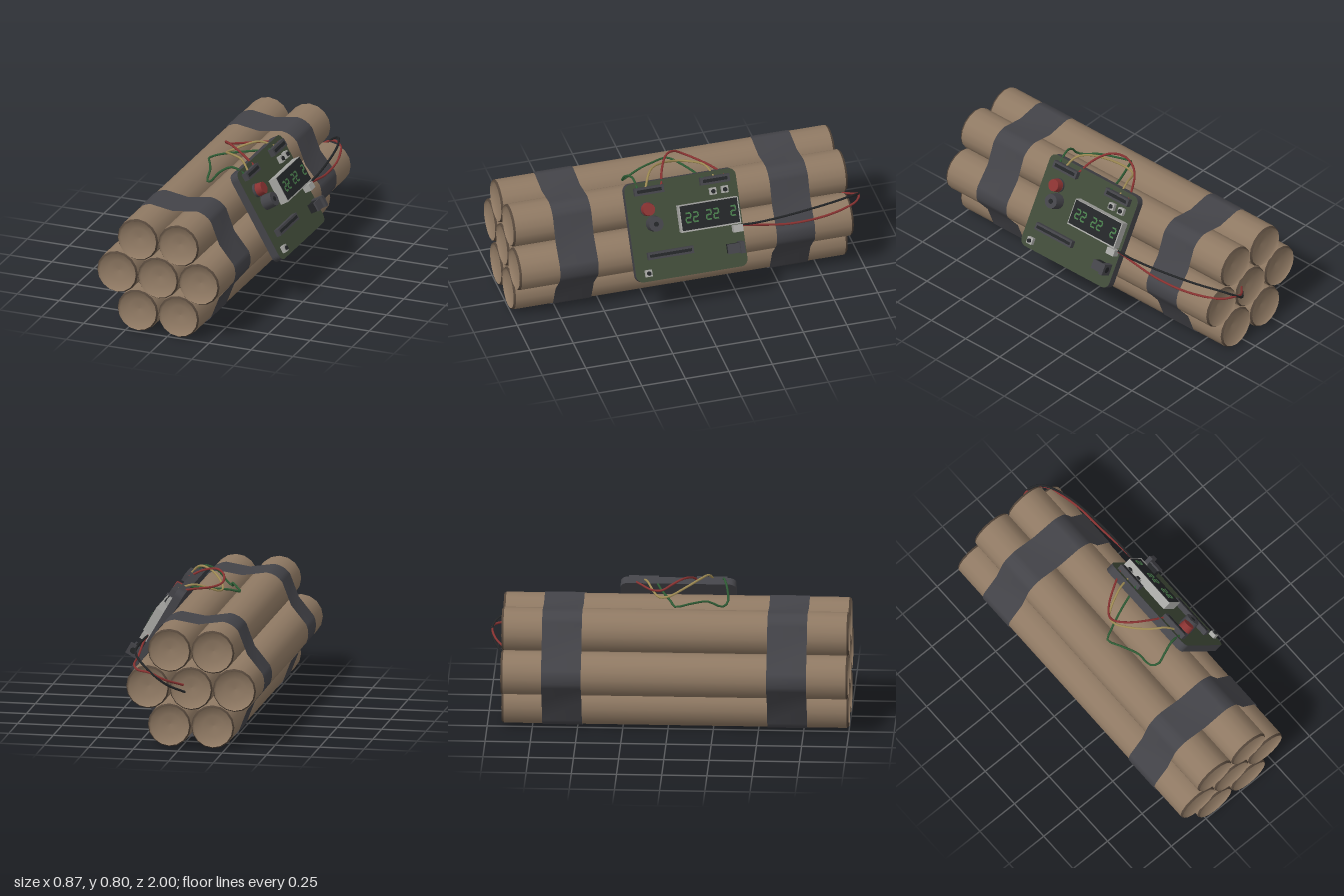
import * as THREE from 'three';

const mat = (name, color, side = THREE.FrontSide) => {
  const m = new THREE.MeshStandardMaterial({ color, side });
  m.name = name;
  return m;
};

export function createModel() {
  const root = new THREE.Group();
  root.name = 'tubeBundle';

  const cardboard = mat('cardboard', 0x8f7963);
  const rimBrown = mat('rimBrown', 0x54463a);
  const darkGrey = mat('darkGrey', 0x434348, THREE.DoubleSide);
  const boardGreen = mat('boardGreen', 0x3f4a38);
  const black = mat('black', 0x232527);
  const metal = mat('metal', 0xa5a5a2);
  const red = mat('red', 0x8a3332);
  const yellow = mat('yellow', 0xa08c55);
  const wireGreen = mat('wireGreen', 0x2f5c35);
  const digitGreen = mat('digitGreen', 0x477a4a);

  const add = (parent, name, geometry, material, x = 0, y = 0, z = 0) => {
    const m = new THREE.Mesh(geometry, material);
    m.name = name;
    m.position.set(x, y, z);
    parent.add(m);
    return m;
  };
  const v2 = (pts) => pts.map(([x, y]) => new THREE.Vector2(x, y));

  // Seven tubes: one in the middle, six around it
  const R = 0.1215, PITCH = 0.244, CX = -0.058, CY = 0.336;
  const Z0 = -0.92, Z1 = 1;
  const ring = [0, 1, 2, 3, 4, 5].map((i) => {
    const a = (i * Math.PI) / 3;
    return { a, x: CX + PITCH * Math.cos(a), y: CY + PITCH * Math.sin(a) };
  });
  const side = new THREE.CylinderGeometry(R, R, Z1 - Z0 - 0.024, 16, 1, true).rotateX(Math.PI / 2);
  const rim = new THREE.LatheGeometry(v2([[R, -0.012], [0.114, 0]]), 16);
  const dish = new THREE.LatheGeometry(v2([[0.114, 0], [0.106, -0.016], [0.06, -0.032], [0, -0.038]]), 16);
  for (const { x, y } of [{ x: CX, y: CY }, ...ring]) {
    const tube = new THREE.Group();
    tube.name = 'tube';
    tube.position.set(x, y, 0);
    root.add(tube);
    add(tube, 'tubeWall', side, cardboard, 0, 0, (Z0 + Z1) / 2);
    for (const [z, s] of [[Z1, 1], [Z0, -1]]) {
      add(tube, 'tubeRim', rim, rimBrown, 0, 0, z).rotation.x = (s * Math.PI) / 2;
      add(tube, 'tubeEnd', dish, cardboard, 0, 0, z).rotation.x = (s * Math.PI) / 2;
    }
  }

  // Straps: a thin band over the outer tubes, dipping slightly between them
  const outline = [];
  for (const { a, x, y } of ring) {
    for (const d of [-24, -12, 0, 12, 24]) {
      const t = a + THREE.MathUtils.degToRad(d);
      outline.push([x + 0.126 * Math.cos(t), y + 0.126 * Math.sin(t)]);
    }
    const m = a + Math.PI / 6, r = PITCH * Math.cos(Math.PI / 6) + 0.104;
    outline.push([CX + r * Math.cos(m), CY + r * Math.sin(m)]);
  }
  const bandGeometry = (width) => {
    const pos = [], idx = [], n = outline.length;
    for (const [x, y] of outline) pos.push(x, y, -width / 2, x, y, width / 2);
    for (let i = 0; i < n; i++) {
      const a = 2 * i, b = 2 * ((i + 1) % n);
      idx.push(a, b, a + 1, b, b + 1, a + 1);
    }
    const g = new THREE.BufferGeometry();
    g.setAttribute('position', new THREE.Float32BufferAttribute(pos, 3));
    g.setIndex(idx);
    g.computeVertexNormals();
    return g;
  };
  for (const z of [0.66, -0.585]) add(root, 'strap', bandGeometry(0.22), darkGrey, 0, 0, z);

  // Circuit board, leaning on the upper side; its local z points outwards
  const board = new THREE.Group();
  board.name = 'circuitBoard';
  const c = Math.cos(Math.PI / 6), s = 0.5, T = 0.047;
  board.setRotationFromMatrix(new THREE.Matrix4().makeBasis(
    new THREE.Vector3(0, 0, -1), new THREE.Vector3(-s, c, 0), new THREE.Vector3(c, s, 0)));
  board.position.set(0.241, 0.485, 0.04);
  root.add(board);

  const w = 0.32, h = 0.275, q = 0.04;
  const plate = new THREE.Shape();
  plate.absarc(w - q, h - q, q, 0, Math.PI / 2);
  plate.absarc(-w + q, h - q, q, Math.PI / 2, Math.PI);
  plate.absarc(-w + q, -h + q, q, Math.PI, Math.PI * 1.5);
  plate.absarc(w - q, -h + q, q, Math.PI * 1.5, Math.PI * 2);
  add(board, 'boardBody', new THREE.ExtrudeGeometry(plate, { depth: T, bevelEnabled: false, curveSegments: 4 }), darkGrey);
  add(board, 'boardFace', new THREE.ShapeGeometry(plate, 4), boardGreen, 0, 0, T + 0.001);

  // Parts standing on the board face
  const block = (name, m, x, y, bw, bh, bd, z = 0) =>
    add(board, name, new THREE.BoxGeometry(bw, bh, bd), m, x, y, T + z + bd / 2);
  const post = (name, m, x, y, r0, r1, d, z = 0) =>
    add(board, name, new THREE.CylinderGeometry(r1, r0, d, 14).rotateX(Math.PI / 2), m, x, y, T + z + d / 2);

  for (const x of [-0.185, 0.193]) {
    block('wireSocket', darkGrey, x, 0.228, 0.168, 0.042, 0.032);
    block('socketSlot', black, x, 0.228, 0.14, 0.018, 0.002, 0.032);
  }
  block('longSocket', darkGrey, -0.112, -0.135, 0.262, 0.04, 0.03);
  block('longSocketSlot', black, -0.112, -0.135, 0.24, 0.016, 0.002, 0.03);

  post('redButtonBase', darkGrey, -0.206, 0.125, 0.04, 0.04, 0.015);
  post('redButton', red, -0.206, 0.125, 0.038, 0.034, 0.04, 0.015);
  post('buzzer', darkGrey, -0.18, 0.04, 0.045, 0.041, 0.065);
  post('buzzerHole', black, -0.18, 0.04, 0.014, 0.014, 0.002, 0.065);

  for (const [x, y] of [[0.175, 0.165], [0.243, 0.165], [-0.25, -0.228]]) {
    block('pushSwitch', metal, x, y, 0.038, 0.038, 0.024);
    post('pushSwitchCap', black, x, y, 0.012, 0.012, 0.008, 0.024);
  }
  block('cableSocket', metal, 0.283, -0.06, 0.055, 0.038, 0.045);

  block('powerJack', black, 0.245, -0.165, 0.07, 0.05, 0.05);
  block('powerJackFront', darkGrey, 0.287, -0.165, 0.025, 0.064, 0.072);
  block('powerJackTop', darkGrey, 0.24, -0.165, 0.07, 0.054, 0.01, 0.045);
  add(board, 'powerJackHole', new THREE.CylinderGeometry(0.018, 0.018, 0.002, 12).rotateZ(Math.PI / 2),
    black, 0.3, -0.165, T + 0.038);

  // Display with three groups of lit segments
  block('displayFrame', metal, 0.131, 0.042, 0.342, 0.15, 0.05);
  block('displayFace', black, 0.131, 0.045, 0.328, 0.138, 0.004, 0.05);
  const seg = (x, y, sw, sh) => block('displaySegment', digitGreen, x, y, sw, sh, 0.002, 0.054);
  for (const x of [0.008, 0.05, 0.125, 0.167, 0.265]) {
    for (const dy of [-0.026, 0, 0.026]) seg(x, 0.045 + dy, 0.026, 0.009);
    for (const dx of [-0.014, 0.014]) seg(x + dx, 0.045 + dx * 0.93, 0.008, 0.022);
  }

  // Wires
  const wire = (name, m, pts) => {
    const curve = new THREE.CatmullRomCurve3(pts.map((p) => new THREE.Vector3(...p)));
    add(root, name, new THREE.TubeGeometry(curve, 32, 0.0065, 6), m);
  };
  wire('redTopWire', red, [[0.17, 0.72, -0.22], [0.08, 0.728, -0.17], [-0.02, 0.73, -0.1], [-0.065, 0.745, -0.04],
    [-0.06, 0.775, 0.01], [-0.01, 0.793, 0.07], [0.08, 0.77, 0.12], [0.17, 0.72, 0.15]]);
  wire('yellowTopWire', yellow, [[0.17, 0.72, -0.155], [0.08, 0.745, -0.13], [-0.05, 0.7, -0.06], [-0.06, 0.705, -0.01],
    [-0.01, 0.745, 0.09], [0.06, 0.773, 0.17], [0.12, 0.772, 0.21], [0.17, 0.72, 0.24]]);
  wire('greenTopWire', wireGreen, [[0.17, 0.725, -0.09], [0.04, 0.71, -0.05], [-0.1, 0.692, 0.01], [-0.145, 0.678, 0.035],
    [-0.11, 0.685, 0.12], [-0.07, 0.685, 0.21], [-0.055, 0.65, 0.29], [-0.02, 0.665, 0.32],
    [0.03, 0.725, 0.315], [0.1, 0.758, 0.295], [0.17, 0.72, 0.285]]);
  wire('redRearWire', red, [[0.315, 0.475, -0.26], [0.318, 0.46, -0.36], [0.31, 0.425, -0.55], [0.29, 0.425, -0.77],
    [0.225, 0.435, -0.95], [0.16, 0.435, -0.99], [0.085, 0.395, -0.97], [-0.01, 0.35, -0.89]]);
  wire('blackRearWire', black, [[0.315, 0.475, -0.27], [0.318, 0.475, -0.36], [0.31, 0.485, -0.55], [0.275, 0.495, -0.8],
    [0.21, 0.475, -0.95], [0.14, 0.425, -0.993], [0.07, 0.365, -0.965], [-0.02, 0.31, -0.89]]);

  return root;
}
